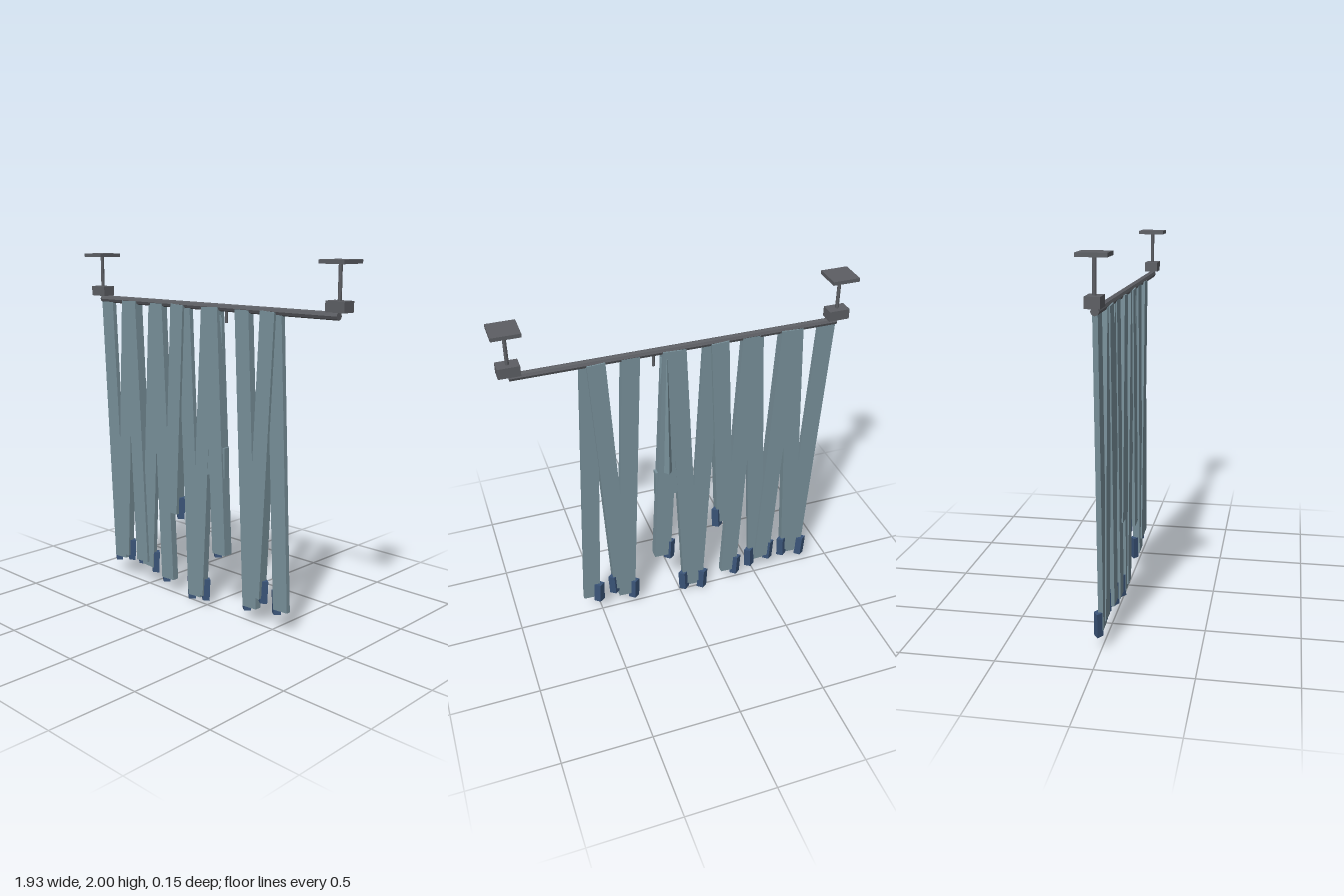
import * as THREE from 'three';

export function createModel() {
  const mat = (name, color) => {
    const m = new THREE.MeshStandardMaterial({ color });
    m.name = name;
    return m;
  };
  const metal = mat('dark metal', 0x5c5e63);
  const cloth = mat('grey blue cloth', 0x78909a);
  const blue = mat('navy blue', 0x3a5478);

  const model = new THREE.Group();
  model.name = 'hangingStrips';

  const add = (parent, name, geometry, material, x, y, z = 0) => {
    const mesh = new THREE.Mesh(geometry, material);
    mesh.name = name;
    mesh.position.set(x, y, z);
    parent.add(mesh);
    return mesh;
  };
  const box = (w, h, d) => new THREE.BoxGeometry(w, h, d);
  // Upright prism with flat faces, stretched in x and z
  const prism = (rx, rz, h, sides) => {
    const g = new THREE.CylinderGeometry(1, 1, h, sides).toNonIndexed();
    g.scale(rx, 1, rz);
    g.computeVertexNormals();
    return g;
  };

  // Rail with a small peg underneath
  const rail = add(model, 'rail', prism(0.021, 0.021, 1.78, 8), metal, 0, 1.73);
  rail.rotation.z = Math.PI / 2;
  add(model, 'peg', prism(0.008, 0.008, 0.09, 8), metal, 0.145, 1.695);

  // Ceiling mounts at both ends
  for (const side of [-1, 1]) {
    const mount = new THREE.Group();
    mount.name = side > 0 ? 'leftMount' : 'rightMount';
    mount.position.x = side * 0.89;
    add(mount, 'clampBlock', box(0.115, 0.056, 0.076), metal, 0, 1.777);
    add(mount, 'post', prism(0.01, 0.01, 0.18, 8), metal, 0, 1.892);
    add(mount, 'ceilingPlate', box(0.15, 0.02, 0.15), metal, 0, 1.99);
    model.add(mount);
  }

  // Hanging strips: top x, bottom x, bottom y, side of the end tab, half depth
  const thin = 0.013, mid = 0.02, thick = 0.028;
  const strips = [
    [-0.835, -0.755, 0.11, -1, thin],
    [-0.643, -0.72, 0.14, 1, mid],
    [-0.615, -0.535, 0.14, -1, thick],
    [-0.415, -0.5, 0.115, 1, thin],
    [-0.395, -0.315, 0.08, -1, mid],
    [-0.215, -0.275, 0.505, 1, thick],
    [-0.175, -0.095, 0.03, -1, thin],
    [0.02, -0.068, 0.053, 1, mid],
    [0.05, 0.117, 0.34, -1, thick],
    [0.27, 0.345, 0.085, -1, mid],
    [0.455, 0.375, 0.16, 1, thick],
    [0.49, 0.562, 0.123, -1, thin],
  ];
  const topY = 1.73;
  for (const [x0, x1, y1, side, half] of strips) {
    const strip = new THREE.Group();
    strip.name = 'hangingStrip';
    const length = Math.hypot(x1 - x0, topY - y1);
    strip.position.set(x0, topY, 0);
    strip.rotation.z = Math.atan2(x1 - x0, topY - y1);
    add(strip, 'stripCloth', box(0.098, length, half * 2), cloth, 0, -length / 2);
    add(strip, 'endTab', prism(0.032, 0.024, 0.13, 4), blue,
      side * 0.045, -length + 0.035, -0.012);
    model.add(strip);
  }

  // Short square bar leaning backwards, with a block at its foot
  const bar = add(model, 'shortBar', prism(0.03, 0.033, 0.73, 4), cloth, 0.08, 1.325, -0.01);
  bar.rotation.x = 0.03;
  add(model, 'footBlock', box(0.14, 0.17, 0.036), cloth, 0.08, 0.876);

  return model;
}
